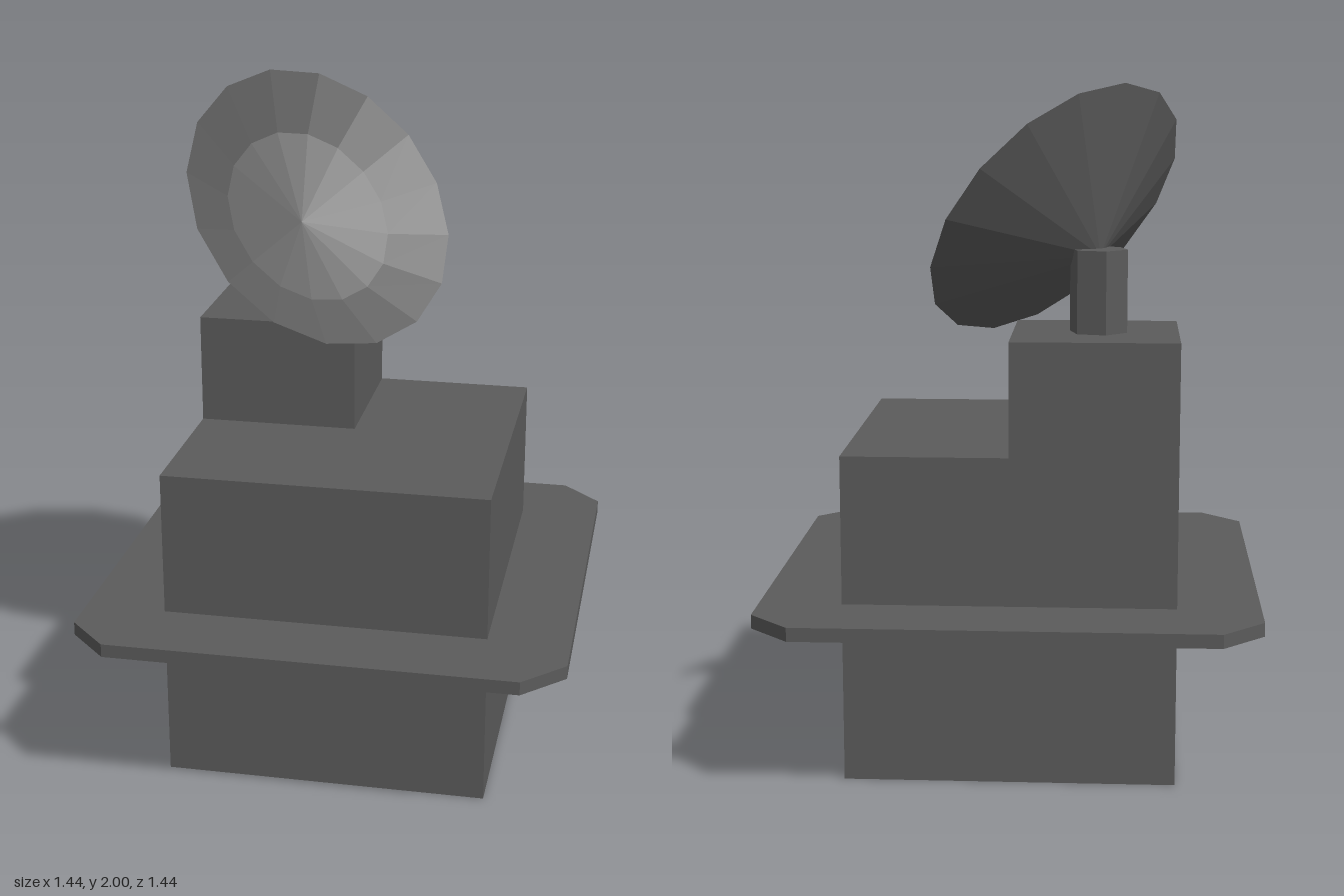
import * as THREE from 'three';

export function createModel() {
  const model = new THREE.Group();
  const darkGrey = new THREE.MeshStandardMaterial({ color: 0x5b5b5b, flatShading: true });

  const add = (name, geometry, x, y, z) => {
    const mesh = new THREE.Mesh(geometry, darkGrey);
    mesh.name = name;
    mesh.position.set(x, y, z);
    model.add(mesh);
    return mesh;
  };

  // Main body and the smaller block on its back corner
  add('body', new THREE.BoxGeometry(0.96, 0.96, 0.96), 0, 0.48, 0);
  add('upperBlock', new THREE.BoxGeometry(0.48, 0.33, 0.48), -0.24, 1.125, -0.24);

  // Square platform with clipped corners
  const a = 0.72, b = 0.6;
  const outline = new THREE.Shape(
    [[a, -b], [a, b], [b, a], [-b, a], [-a, b], [-a, -b], [-b, -a], [b, -a]]
      .map(([x, y]) => new THREE.Vector2(x, y))
  );
  const platform = new THREE.ExtrudeGeometry(outline, { depth: 0.04, bevelEnabled: false });
  platform.rotateX(-Math.PI / 2);
  add('platform', platform, 0, 0.487, 0);

  // Six-sided post, one flat side towards the front left
  const post = new THREE.CylinderGeometry(0.086, 0.086, 0.24, 6, 1, false, Math.PI / 12);
  add('post', post, -0.2475, 1.41, -0.2475);

  // Dish: plain cone behind, shallower two-step bowl in front, tilted up
  const profile = [[0, -0.21], [0.454, 0], [0.28, -0.08], [0, -0.13]]
    .map(([r, y]) => new THREE.Vector2(r, y));
  const bowl = new THREE.LatheGeometry(profile, 16);
  bowl.rotateX(Math.PI / 2);
  const dish = add('dish', bowl, -0.1215, 1.629, -0.12);
  dish.lookAt(dish.position.clone().add(new THREE.Vector3(0.62, 0.575, 0.535)));

  return model;
}
